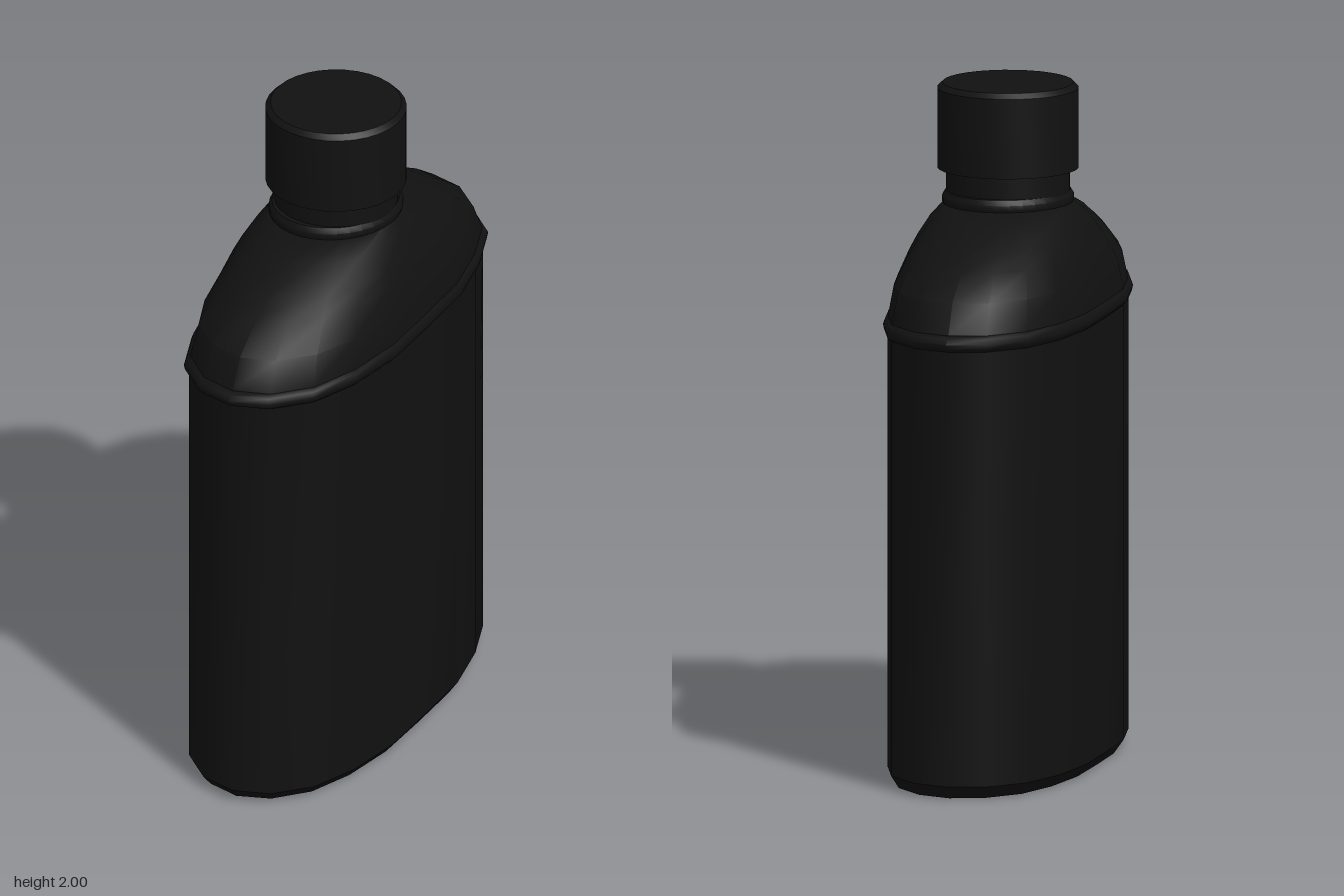
import * as THREE from 'three';
import { toCreasedNormals } from 'three/addons/utils/BufferGeometryUtils.js';

const material = new THREE.MeshStandardMaterial({ color: 0x111111 });

// Half of the slanted oval as [x, z]; the other half is its point reflection.
const half = [
  [0.36, 0.32], [0.34, 0.48], [0.27, 0.6], [0.17, 0.66], [0.05, 0.655],
  [-0.07, 0.585], [-0.16, 0.45], [-0.24, 0.28], [-0.295, 0.075], [-0.345, -0.13],
];
const oval = [...half, ...half.map(([x, z]) => [-x, -z])];
const START = THREE.MathUtils.degToRad(22);

// Cross-section at height y: the oval with half widths w and d, blended by k into the neck's round.
function section(y, w, d, k = 0) {
  return oval.map(([x, z], i) => {
    const a = START + (i / oval.length) * Math.PI * 2;
    return [
      THREE.MathUtils.lerp((x / 0.36) * w, 0.185 * Math.cos(a), k), y,
      THREE.MathUtils.lerp((z / 0.66) * d, 0.205 * Math.sin(a), k),
    ];
  });
}

// Skin a stack of sections from bottom to top and close both ends.
function loft(sections) {
  const n = oval.length;
  const top = sections.length - 1;
  const positions = sections.flat(2);
  const index = [];
  const low = sections.length * n;
  positions.push(0, sections[0][0][1], 0, 0, sections[top][0][1], 0);
  for (let i = 0; i < n; i++) {
    const j = (i + 1) % n;
    for (let s = 0; s < top; s++) {
      const a = s * n + i, b = s * n + j;
      index.push(a, a + n, b, b, a + n, b + n);
    }
    index.push(low, i, j, low + 1, top * n + j, top * n + i);
  }
  const geometry = new THREE.BufferGeometry();
  geometry.setAttribute('position', new THREE.Float32BufferAttribute(positions, 3));
  geometry.setIndex(index);
  return geometry;
}

function lathe(points) {
  return new THREE.LatheGeometry(points.map(([r, y]) => new THREE.Vector2(r, y)), 32);
}

export function createModel() {
  const group = new THREE.Group();
  const add = (name, geometry, crease = 0.6) => {
    const mesh = new THREE.Mesh(toCreasedNormals(geometry, crease), material);
    mesh.name = name;
    group.add(mesh);
    return mesh;
  };

  // Straight oval body with a chamfered foot
  add('body', loft([
    section(0, 0.31, 0.6), section(0.04, 0.346, 0.637), section(1.34, 0.346, 0.637),
  ]));

  // Bead around the top of the body
  add('shoulderBead', loft([
    section(1.32, 0.346, 0.637), section(1.33, 0.357, 0.655), section(1.345, 0.36, 0.66),
    section(1.36, 0.354, 0.65), section(1.368, 0.344, 0.632),
  ]), 1);

  // Domed shoulder easing from the oval into the round neck
  const rise = [[1.35, 0], [1.37, 0.01], [1.455, 0.11], [1.525, 0.34], [1.565, 0.5], [1.62, 0.77], [1.65, 1]];
  add('shoulder', loft(rise.map(([y, k]) => section(y, 0.346, 0.637, k))));

  // Slightly oval collar at the foot of the neck
  const collar = add('neckCollar', lathe([
    [0, 1.635], [0.195, 1.635], [0.205, 1.655], [0.205, 1.67], [0.195, 1.685], [0, 1.69],
  ]));
  collar.scale.x = 0.91;

  // Neck and screw cap
  add('neck', lathe([[0, 1.64], [0.18, 1.64], [0.18, 1.76], [0, 1.76]]));
  add('cap', lathe([[0, 1.75], [0.205, 1.75], [0.205, 1.985], [0.19, 2], [0, 2]]));

  return group;
}
